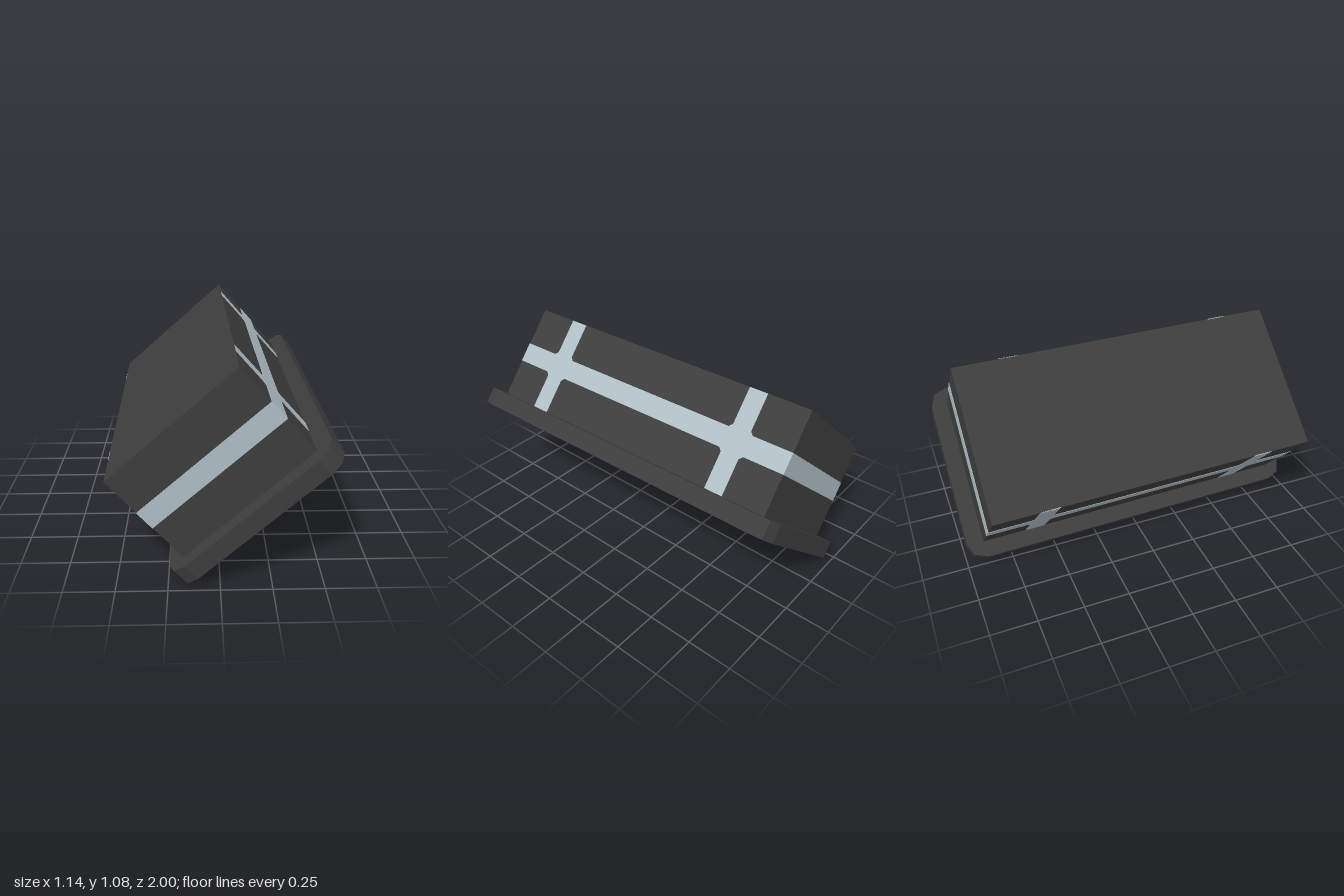
import * as THREE from 'three';

// Local frame before tilting: x across the lamp, y from the opening to the back, z along the lamp.
const CX = 0.352;                        // middle of the lamp across
const FACE = 0.13, SEAT = 0.225, BACK = 0.77;

const material = (name, color, side = THREE.FrontSide) => {
  const m = new THREE.MeshStandardMaterial({ color, side });
  m.name = name;
  return m;
};

export function createModel() {
  const body = material('dark grey', 0x3d3d3d);
  const stripe = material('pale blue grey', 0xafbec6);
  const reflectorMat = material('warm grey', 0xa6a895, THREE.DoubleSide);
  const yellow = material('yellow', 0xc6bf35);

  const lamp = new THREE.Group();
  lamp.name = 'floodlight';
  const add = (name, geometry, mat) => {
    const mesh = new THREE.Mesh(geometry, mat);
    mesh.name = name;
    lamp.add(mesh);
    return mesh;
  };

  // Closed outlines as [x, z]: the opening has slightly bulged ends
  const ring = (lo, hi, half, bulge) => {
    const end = [[lo, half], [lo + (hi - lo) * 0.35, half + bulge],
      [lo + (hi - lo) * 0.58, half + bulge * 0.7], [hi, half]];
    return [...end, ...end.map(([x, z]) => [x, -z]).reverse()];
  };
  const opening = ring(0.042, 0.663, 0.77, 0.03);
  const floor = ring(0.159, 0.424, 0.565, 0);
  const floorY = 0.24;

  // Plate in the x-z plane with the opening cut out, from y0 to y1
  const frame = (outline, y0, y1) => {
    const shape = new THREE.Shape(outline.map(([x, z]) => new THREE.Vector2(x, -z)));
    shape.holes.push(new THREE.Path(opening.map(([x, z]) => new THREE.Vector2(x, -z))));
    return new THREE.ExtrudeGeometry(shape, { depth: y1 - y0, bevelEnabled: false })
      .rotateX(-Math.PI / 2).translate(0, y0, 0);
  };

  // Front rim with two-facet corners
  const W = 0.4995, L = 0.992, R = 0.095;
  const rim = [];
  for (let q = 0; q < 4; q++) {
    const sx = q === 0 || q === 3 ? 1 : -1, sz = q < 2 ? 1 : -1;
    for (let i = 0; i < 3; i++) {
      const a = (q + i / 2) * Math.PI / 2;
      rim.push([CX + sx * (W - R) + R * Math.cos(a), sz * (L - R) + R * Math.sin(a)]);
    }
  }
  add('rim', frame(rim, FACE, SEAT), body);

  // Housing walls and back cover
  const hw = 0.412, hl = 0.904;
  const box = [[CX + hw, hl], [CX - hw, hl], [CX - hw, -hl], [CX + hw, -hl]];
  add('housing', frame(box, SEAT - 0.005, BACK - 0.02), body);
  add('backCover', new THREE.BoxGeometry(hw * 2, 0.02, hl * 2).translate(CX, BACK - 0.01, 0), body);

  // Reflector: sloped walls from opening to floor, and the floor itself
  const pos = [];
  const tri = (...pts) => pts.forEach(p => pos.push(...p));
  const top = opening.map(([x, z]) => [x, FACE + 0.001, z]);
  const low = floor.map(([x, z]) => [x, floorY, z]);
  top.forEach((p, i) => {
    const j = (i + 1) % top.length;
    tri(p, low[i], top[j]);
    tri(top[j], low[i], low[j]);
  });
  tri(low[0], low[7], low[3]);
  tri(low[3], low[7], low[4]);
  const reflector = new THREE.BufferGeometry();
  reflector.setAttribute('position', new THREE.Float32BufferAttribute(pos, 3));
  reflector.computeVertexNormals();
  add('reflector', reflector, reflectorMat);

  // Light chips on the reflector floor
  for (const z of [0.403, -0.333]) {
    add('lightChip', new THREE.BoxGeometry(0.106, 0.006, 0.225).translate(0.288, floorY - 0.003, z), yellow);
  }

  // Pale bands: one around all four sides, two crossing it on each long side
  const T = 0.004, bandY = 0.496, bandH = 0.112, barW = 0.105;
  for (const s of [1, -1]) {
    add('endBand', new THREE.BoxGeometry(hw * 2 + T, bandH, T).translate(CX, bandY, s * hl), stripe);
    const x = CX + s * hw;
    add('sideBand', new THREE.BoxGeometry(T, bandH, hl * 2 + T).translate(x, bandY, 0), stripe);
    for (const z of [0.615, -0.61]) {
      add('crossBar', new THREE.BoxGeometry(T, BACK - SEAT, barW).translate(x, (BACK + SEAT) / 2, z), stripe);
      // Chamfered corners where the bands meet
      const a = barW / 2, b = bandH / 2, f = 0.018;
      const joint = new THREE.Shape([[a + f, b], [a, b + f], [-a, b + f], [-a - f, b],
        [-a - f, -b], [-a, -b - f], [a, -b - f], [a + f, -b]].map(p => new THREE.Vector2(...p)));
      add('bandJoint', new THREE.ExtrudeGeometry(joint, { depth: T, bevelEnabled: false })
        .translate(0, 0, -T / 2).rotateY(Math.PI / 2).translate(x, bandY, z), stripe);
    }
  }

  // Tilt the lamp so that it shines downward to its left
  lamp.rotation.set(0, 0.02, 0.721);
  const model = new THREE.Group();
  model.name = 'tiltedFloodlight';
  model.add(lamp);
  model.updateMatrixWorld(true);
  const bounds = new THREE.Box3().setFromObject(model, true);
  const c = bounds.getCenter(new THREE.Vector3());
  lamp.position.set(-c.x, -bounds.min.y, -c.z);
  return model;
}
